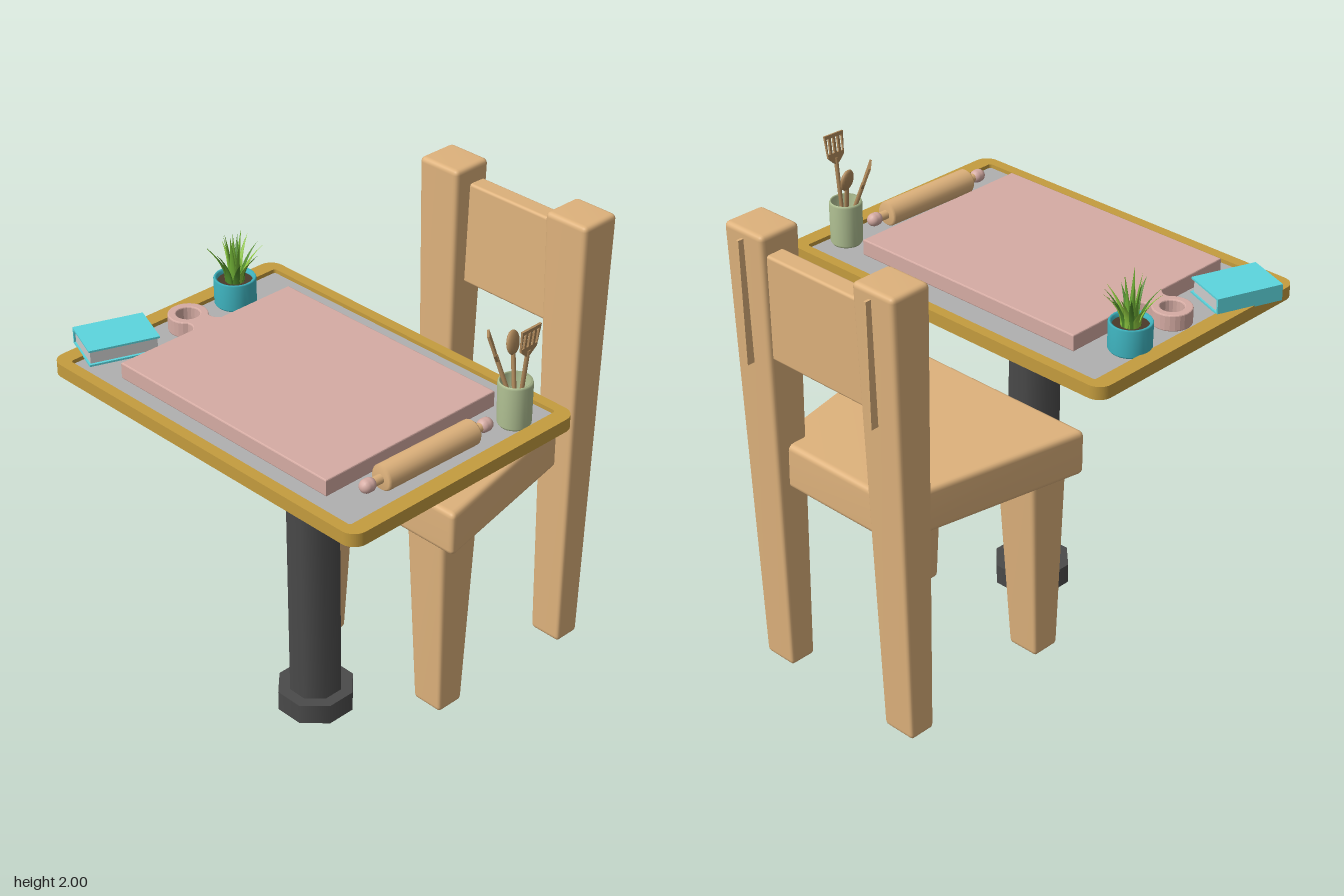
import * as THREE from 'three';
import { mergeVertices } from 'three/addons/utils/BufferGeometryUtils.js';
import { RoundedBoxGeometry } from 'three/addons/geometries/RoundedBoxGeometry.js';

const mat = (color, side = THREE.FrontSide) => new THREE.MeshStandardMaterial({ color, side });
const wood = mat(0xdeb27c), pink = mat(0xd6aca4), gold = mat(0xc49c3e), iron = mat(0x4a4a4a);
const panelGrey = mat(0xb0b0b0), cyan = mat(0x5cd6de), pages = mat(0xcccccc), soil = mat(0x4a3a2a);
const teal = mat(0x40b8c4, THREE.DoubleSide), sage = mat(0xb2c294, THREE.DoubleSide);
const utensilWood = mat(0xb08a5c), leafGreens = [mat(0x6fae35), mat(0x4f8a2a), mat(0x8cc63f)];

function add(parent, name, geometry, material, x = 0, y = 0, z = 0) {
  const mesh = new THREE.Mesh(geometry, material);
  mesh.name = name;
  mesh.position.set(x, y, z);
  parent.add(mesh);
  return mesh;
}

// Rounded block whose vertices are remapped by a rule of (u, v, w) in -0.5..0.5
function shapedBlock(w, h, d, radius, rule) {
  let geo = new RoundedBoxGeometry(w, h, d, 2, radius);
  geo.deleteAttribute('normal');
  geo.deleteAttribute('uv');
  const p = geo.attributes.position;
  for (let i = 0; i < p.count; i++) {
    p.setXYZ(i, ...rule(p.getX(i) / w, p.getY(i) / h, p.getZ(i) / d));
  }
  geo = mergeVertices(geo, 1e-5);
  geo.computeVertexNormals();
  return geo;
}

// Leg tapering between two rectangles [x0, x1, z0, z1]
function taperedLeg(bottom, top, y0, y1) {
  const L = THREE.MathUtils.lerp;
  return shapedBlock(top[1] - top[0], y1 - y0, top[3] - top[2], 0.022, (u, v, w) => {
    const r = bottom.map((b, i) => L(b, top[i], v + 0.5));
    return [L(r[0], r[1], u + 0.5), L(y0, y1, v + 0.5), L(r[2], r[3], w + 0.5)];
  });
}

function roundedRect(target, x0, x1, y0, y1, r) {
  target.absarc(x1 - r, y1 - r, r, 0, Math.PI / 2);
  target.absarc(x0 + r, y1 - r, r, Math.PI / 2, Math.PI);
  target.absarc(x0 + r, y0 + r, r, Math.PI, Math.PI * 1.5);
  target.absarc(x1 - r, y0 + r, r, Math.PI * 1.5, Math.PI * 2);
  target.closePath();
  return target;
}

// Flat outline (x, -z) raised upwards
function slab(shape, depth, bevel = 0) {
  const geo = new THREE.ExtrudeGeometry(shape, {
    depth: depth - 2 * bevel, bevelEnabled: bevel > 0, bevelSize: bevel, bevelThickness: bevel,
    bevelOffset: -bevel, bevelSegments: 2, curveSegments: 10,
  });
  return geo.translate(0, 0, bevel).rotateX(-Math.PI / 2);
}

const lathe = (pts, n = 24) => new THREE.LatheGeometry(pts.map(([x, y]) => new THREE.Vector2(x, y)), n);

function makeTable() {
  const g = new THREE.Group();
  g.name = 'table';
  add(g, 'tableBase', slab(roundedRect(new THREE.Shape(), -0.915, 0.245, -0.86, 0.83, 0.06), 0.03), gold, 0, 1.48);
  const rim = roundedRect(new THREE.Shape(), -0.915, 0.245, -0.86, 0.83, 0.06);
  rim.holes.push(roundedRect(new THREE.Path(), -0.868, 0.2, -0.792, 0.762, 0.012));
  add(g, 'tableRim', slab(rim, 0.025), gold, 0, 1.51);
  add(g, 'tablePanel', new THREE.BoxGeometry(1.068, 0.008, 1.554), panelGrey, -0.334, 1.514, 0.015);
  // Eight-sided post and foot
  add(g, 'tablePost', new THREE.CylinderGeometry(0.113, 0.113, 1.4, 8).rotateY(Math.PI / 8), iron, -0.335, 0.78, 0.028);
  add(g, 'tableFoot', new THREE.CylinderGeometry(0.165, 0.165, 0.09, 8).rotateY(Math.PI / 8), iron, -0.335, 0.06, 0.028);
  return g;
}

function makeChair() {
  const g = new THREE.Group();
  g.name = 'chair';
  // Trapezoid seat, wider towards the table
  const seat = shapedBlock(0.87, 0.2, 0.95, 0.025, (u, v, w) => {
    const t = u + 0.5;
    return [-0.08 + 0.87 * t, 0.97 + 0.2 * v - 0.008 * (t - 0.3), 0.032 + w * (1.03 - 0.37 * t)];
  });
  add(g, 'seat', seat, wood);
  for (const s of [1, -1]) {
    const side = (a, b) => (s > 0 ? [0.03 + a, 0.03 + b] : [0.028 - b, 0.028 - a]);
    const name = s > 0 ? 'left' : 'right';
    add(g, name + 'BackPost', taperedLeg([0.69, 0.81, ...side(0.27, 0.425)], [0.695, 0.885, ...side(0.235, 0.447)], 0, 2), wood);
    add(g, name + 'FrontLeg', taperedLeg([-0.035, 0.095, ...side(0.272, 0.42)], [-0.055, 0.145, ...side(0.235, 0.44)], 0.02, 0.9), wood);
    // Thin end of the back panel showing behind the post
    add(g, name + 'PanelEnd', new THREE.BoxGeometry(0.06, 0.53, 0.012).rotateZ(-0.02), wood, 0.873, 1.697, 0.035 + s * 0.338);
  }
  add(g, 'backPanel', new RoundedBoxGeometry(0.085, 0.45, 0.6, 2, 0.012).rotateZ(-0.03), wood, 0.812, 1.695, 0.03);
  return g;
}

function makeCuttingBoard() {
  const cx = -0.355, cy = 0.662, r = 0.082, a = 0.85;
  const s = new THREE.Shape();
  s.moveTo(-0.79, -0.59).lineTo(0.08, -0.59).lineTo(0.08, 0.548).lineTo(cx + 0.075, 0.548);
  s.quadraticCurveTo(cx + 0.045, 0.57, cx + r * Math.cos(a), cy - r * Math.sin(a));
  s.absarc(cx, cy, r, -a, Math.PI + a);
  s.quadraticCurveTo(cx - 0.045, 0.57, cx - 0.075, 0.548);
  s.lineTo(-0.79, 0.548).closePath();
  s.holes.push(new THREE.Path().absarc(cx, cy, 0.048, 0, Math.PI * 2));
  return slab(s, 0.07, 0.005);
}

function makeRollingPin() {
  const g = new THREE.Group();
  g.name = 'rollingPin';
  const barrel = lathe([[0, -0.232], [0.044, -0.232], [0.052, -0.222], [0.052, 0.222], [0.044, 0.232], [0, 0.232]]);
  add(g, 'barrel', barrel.rotateZ(Math.PI / 2), wood);
  add(g, 'axle', new THREE.CylinderGeometry(0.019, 0.019, 0.58, 12).rotateZ(Math.PI / 2), wood);
  for (const s of [1, -1]) {
    add(g, 'handleKnob', new THREE.CapsuleGeometry(0.028, 0.012, 5, 14).rotateZ(Math.PI / 2), pink, s * 0.294);
  }
  g.position.set(-0.395, 1.571, 0.704);
  g.rotation.y = -0.025;
  return g;
}

function makeUtensilPot() {
  const g = new THREE.Group();
  g.name = 'utensilPot';
  g.position.set(0.048, 1.517, 0.722);
  add(g, 'pot', lathe([[0, 0], [0.058, 0], [0.066, 0.012], [0.068, 0.18], [0.064, 0.19], [0.058, 0.186], [0.056, 0.02], [0, 0.02]]), sage);

  // Flat turner blade, optionally slotted
  function blade(w0, w1, h, slots) {
    const s = new THREE.Shape();
    s.moveTo(-0.01, -0.03).lineTo(0.01, -0.03).lineTo(w0, 0).lineTo(w1, h).lineTo(-w1, h).lineTo(-w0, 0).closePath();
    for (let i = 0; i < slots; i++) {
      const x = (i - (slots - 1) / 2) * 0.023;
      s.holes.push(new THREE.Path().moveTo(x - 0.006, 0.015).lineTo(x - 0.006, h - 0.015).lineTo(x + 0.006, h - 0.015).lineTo(x + 0.006, 0.015));
    }
    return new THREE.ExtrudeGeometry(s, { depth: 0.009, bevelEnabled: false }).translate(0, 0, -0.0045);
  }
  function utensil(name, head, length, headY, base, rx, rz, twist) {
    const u = new THREE.Group();
    u.name = name;
    add(u, 'handle', new THREE.CylinderGeometry(0.009, 0.008, length, 8), utensilWood, 0, length / 2);
    add(u, 'head', head.rotateY(twist), utensilWood, 0, headY);
    u.position.set(...base);
    u.rotation.set(rx, 0, rz);
    g.add(u);
  }
  utensil('slottedTurner', blade(0.042, 0.05, 0.095, 4), 0.33, 0.335, [-0.01, 0.025, 0.022], 0.14, 0.02, 0);
  utensil('spoon', new THREE.SphereGeometry(0.04, 16, 10).scale(1, 1.2, 0.4), 0.27, 0.295, [-0.005, 0.025, 0.008], -0.22, -0.15, 0.2);
  utensil('flatTurner', blade(0.028, 0.036, 0.085, 0), 0.27, 0.275, [0.002, 0.025, 0.012], -0.32, 0.14, 0.75);
  return g;
}

function makePlant() {
  const g = new THREE.Group();
  g.name = 'pottedPlant';
  g.position.set(-0.085, 1.517, -0.685);
  add(g, 'plantPot', lathe([[0, 0], [0.078, 0], [0.086, 0.01], [0.087, 0.118], [0.083, 0.124], [0.074, 0.12], [0.072, 0.1]]), teal);
  add(g, 'soil', new THREE.CylinderGeometry(0.073, 0.073, 0.01, 20), soil, 0, 0.1);
  // Blades arching outwards, in an inner and an outer ring
  for (let i = 0; i < 17; i++) {
    const inner = i % 3 === 0, h = (inner ? 0.225 : 0.165) - 0.012 * (i % 4);
    const reach = inner ? 0.025 : 0.07 + 0.008 * (i % 3);
    const geo = new THREE.ConeGeometry(0.019, h, 6, 6).scale(0.4, 1, 1).translate(0, h / 2, 0);
    const p = geo.attributes.position;
    for (let k = 0; k < p.count; k++) {
      const t = p.getY(k) / h;
      p.setX(k, p.getX(k) + reach * t * t + 0.018 + (inner ? 0 : 0.014));
    }
    geo.computeVertexNormals();
    add(g, 'leaf', geo, leafGreens[i % 3], 0, 0.1).rotation.y = i * 2.4;
  }
  return g;
}

function makeBook() {
  const g = new THREE.Group();
  g.name = 'book';
  const box = (name, size, m, y, z) => add(g, name, new THREE.BoxGeometry(...size), m, 0, y, z);
  box('backCover', [0.29, 0.008, 0.205], cyan, 0.004, 0);
  box('frontCover', [0.29, 0.008, 0.205], cyan, 0.066, 0);
  box('spine', [0.29, 0.07, 0.01], cyan, 0.035, -0.0975);
  box('pages', [0.275, 0.056, 0.187], pages, 0.035, -0.002);
  g.position.set(-0.667, 1.53, -0.727);
  g.rotation.y = -0.36;
  return g;
}

export function createModel() {
  const model = new THREE.Group();
  model.name = 'kitchenTableAndChair';
  model.add(makeTable(), makeChair(), makeRollingPin(), makeUtensilPot(), makePlant(), makeBook());
  add(model, 'cuttingBoard', makeCuttingBoard(), pink, 0, 1.517);
  return model;
}
